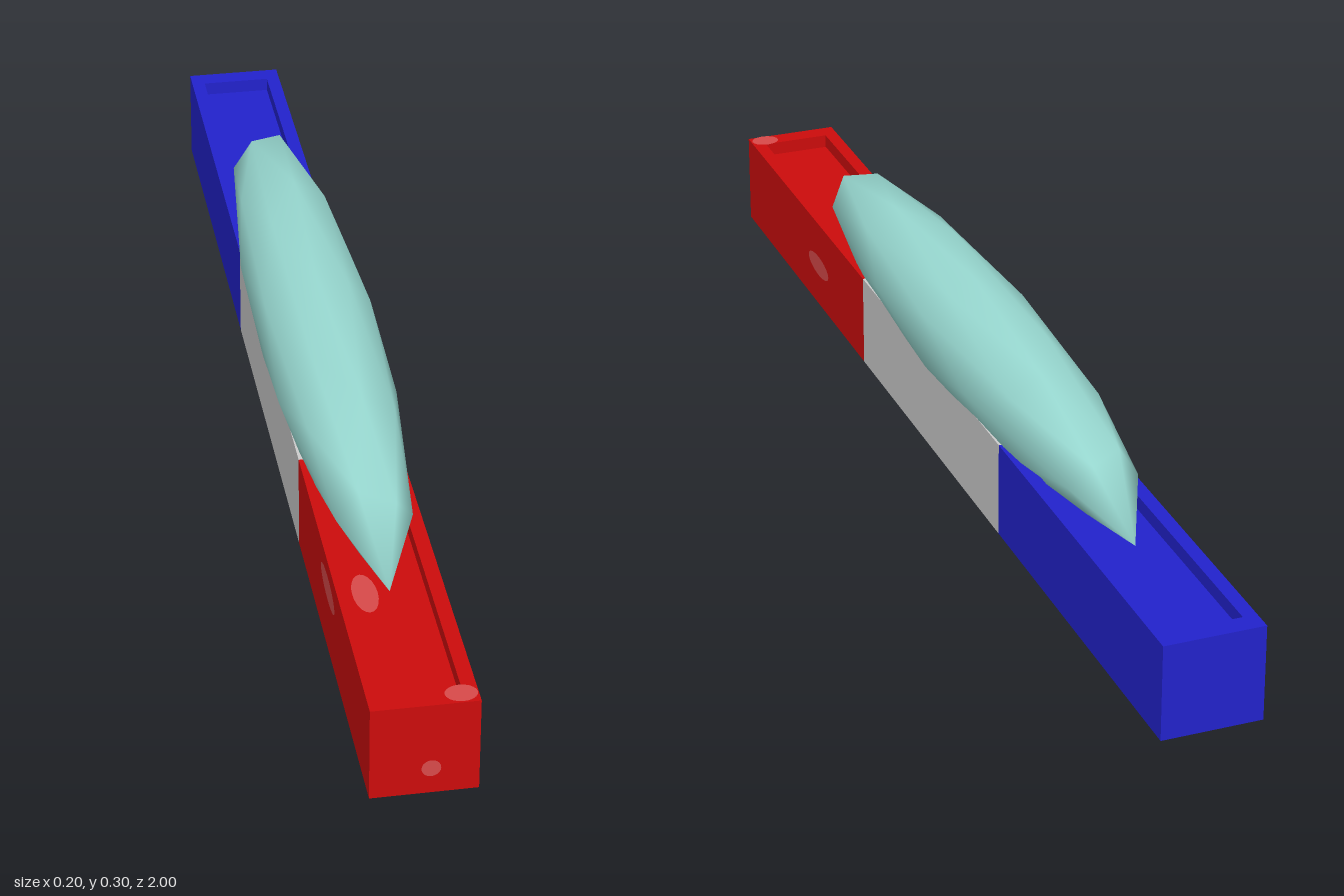
import * as THREE from 'three';
import { mergeVertices, mergeGeometries } from 'three/addons/utils/BufferGeometryUtils.js';

const W = 0.167, H = 0.163, L = 2 / 3; // one bar segment
const DEPTH = 0.024; // recess depth, top and bottom

function material(name, color) {
  const m = new THREE.MeshStandardMaterial({ color });
  m.name = name;
  return m;
}

function rectangle(PathType, w, l) {
  const p = new PathType();
  p.moveTo(-w / 2, -l / 2);
  p.lineTo(w / 2, -l / 2);
  p.lineTo(w / 2, l / 2);
  p.lineTo(-w / 2, l / 2);
  p.closePath();
  return p;
}

// Solid core with a raised rim around its top and bottom
function segmentGeometry() {
  const core = new THREE.BoxGeometry(W, H - 2 * DEPTH, L).toNonIndexed();
  core.translate(0, H / 2, 0);
  const rims = [0, H - DEPTH].map((y) => {
    const shape = rectangle(THREE.Shape, W, L);
    shape.holes.push(rectangle(THREE.Path, 0.12, L - 0.07));
    const rim = new THREE.ExtrudeGeometry(shape, { depth: DEPTH, bevelEnabled: false });
    rim.rotateX(-Math.PI / 2);
    rim.translate(0, y, 0);
    return rim;
  });
  return mergeGeometries([core, ...rims]);
}

// Faceted outline, smooth shading, with the two tips drooping into the recess
function hullGeometry() {
  let g = new THREE.IcosahedronGeometry(1, 1);
  g.deleteAttribute('normal');
  g.deleteAttribute('uv');
  g = mergeVertices(g, 1e-3);
  g.rotateZ(-Math.atan(2 / (1 + Math.sqrt(5))));
  const p = g.attributes.position;
  for (let i = 0; i < p.count; i++) {
    if (Math.abs(p.getZ(i)) > 0.95) p.setY(i, -0.45);
  }
  g.scale(0.103, 0.1, 0.7);
  g.computeVertexNormals();
  return g;
}

export function createModel() {
  const group = new THREE.Group();
  const red = material('red', 0xcc0c0c);
  const grey = material('light grey', 0xcccccc);
  const blue = material('blue', 0x2222cc);
  const teal = material('pale teal', 0x99dad2);
  const pink = material('faded red', 0xd84a4a);

  const add = (name, geometry, mat, x, y, z) => {
    const mesh = new THREE.Mesh(geometry, mat);
    mesh.name = name;
    mesh.position.set(x, y, z);
    group.add(mesh);
    return mesh;
  };

  // Three bar segments
  const segment = segmentGeometry();
  add('frontSegment', segment, red, 0, 0, L);
  add('middleSegment', segment, grey, 0, 0, 0);
  add('backSegment', segment, blue, 0, 0, -L);

  // Long rounded body on top
  add('hull', hullGeometry(), teal, 0, 0.2, 0);

  // Faded spots on the front segment: name, position, radii, rotation
  const q = Math.PI / 2, e = 0.0015;
  const spots = [
    ['frontSpot', [0.01, 0.046, 1 + e / 2], [0.015, 0.015], [0, 0]],
    ['leftSpot', [W / 2 + e, 0.08, 0.58], [0.056, 0.019], [0, q]],
    ['rightSpot', [-W / 2 - e, 0.12, 0.63], [0.065, 0.022], [0, -q]],
    ['rimSpot', [0.057, H + e, 0.979], [0.025, 0.02], [-q, 0]],
    ['topSpot', [-0.035, H - DEPTH + e, 0.68], [0.02, 0.05], [-q, 0]],
    ['bottomSpot', [0, DEPTH - e, 0.86], [0.02, 0.06], [q, 0]],
  ];
  const disc = new THREE.CircleGeometry(1, 20);
  for (const [name, pos, radii, rot] of spots) {
    const spot = add(name, disc, pink, ...pos);
    spot.scale.set(radii[0], radii[1], 1);
    spot.rotation.set(rot[0], rot[1], 0);
  }
  return group;
}
